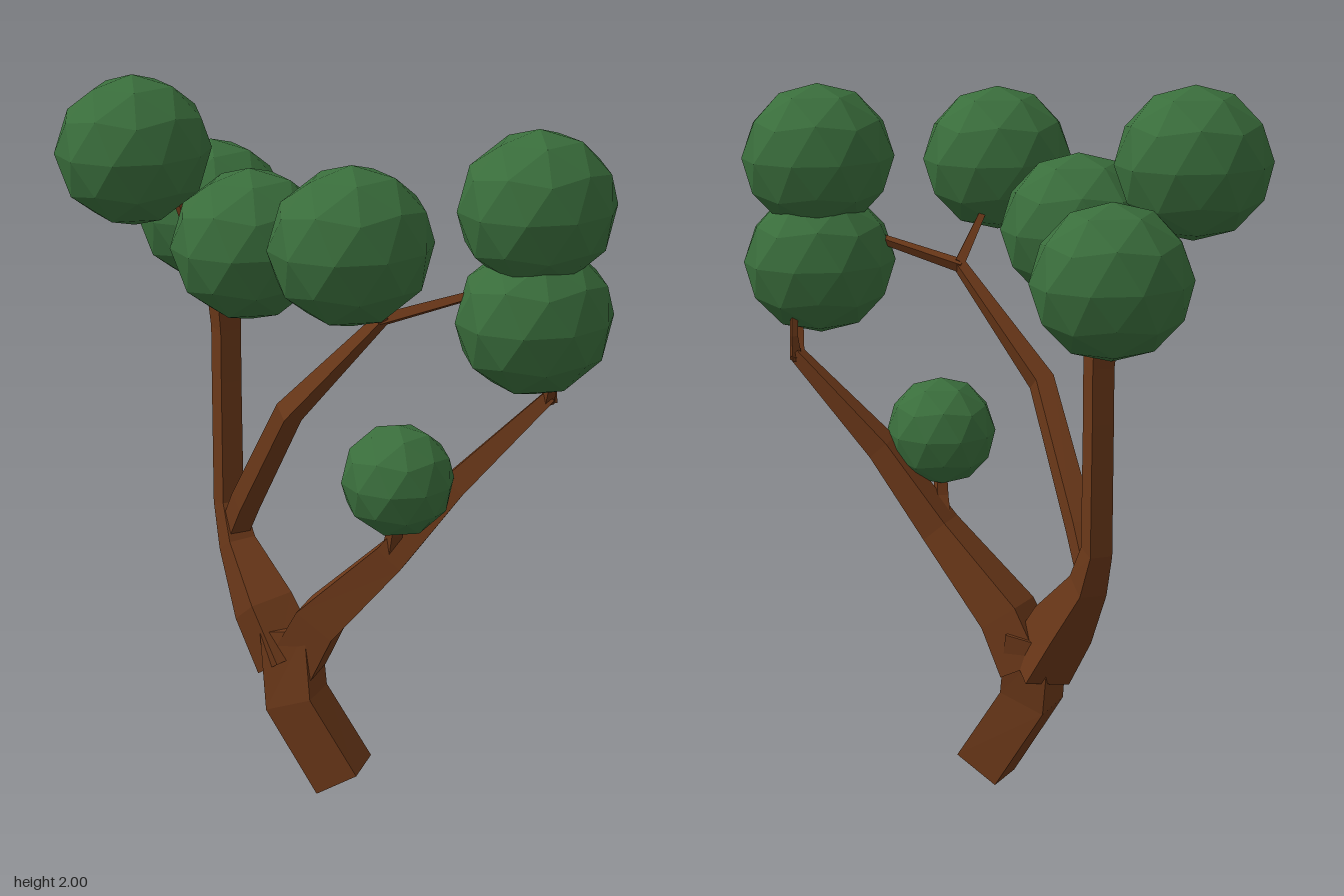
import * as THREE from 'three';

const bark = new THREE.MeshStandardMaterial({ color: 0x6b3819, flatShading: true });
const leaf = new THREE.MeshStandardMaterial({ color: 0x3a6e3c, flatShading: true });

// Square-section limb through points [x, y, z, halfWidth]; ref turns the section's sides.
function limb(name, points, ref = [1, 0, 0]) {
  const centres = points.map(([x, y, z]) => new THREE.Vector3(x, y, z));
  const last = points.length - 1;
  const positions = [], index = [];
  centres.forEach((c, i) => {
    const tangent = new THREE.Vector3();
    if (i > 0) tangent.add(c.clone().sub(centres[i - 1]).normalize());
    if (i < last) tangent.add(centres[i + 1].clone().sub(c).normalize());
    tangent.normalize();
    const u = new THREE.Vector3(...ref);
    u.addScaledVector(tangent, -u.dot(tangent)).normalize();
    const v = new THREE.Vector3().crossVectors(tangent, u);
    const r = points[i][3];
    for (const [a, b] of [[1, 1], [-1, 1], [-1, -1], [1, -1]]) {
      const p = c.clone().addScaledVector(u, a * r).addScaledVector(v, b * r);
      positions.push(p.x, p.y, p.z);
    }
    if (i === last) return;
    for (let j = 0; j < 4; j++) {
      const a = i * 4 + j, b = i * 4 + (j + 1) % 4;
      index.push(a, b, b + 4, a, b + 4, a + 4);
    }
  });
  const e = last * 4;
  index.push(0, 3, 2, 0, 2, 1, e, e + 1, e + 2, e, e + 2, e + 3);
  const indexed = new THREE.BufferGeometry();
  indexed.setAttribute('position', new THREE.Float32BufferAttribute(positions, 3));
  indexed.setIndex(index);
  const geometry = indexed.toNonIndexed();
  geometry.computeVertexNormals();
  const mesh = new THREE.Mesh(geometry, bark);
  mesh.name = name;
  return mesh;
}

// Faceted ball of leaves with a corner pointing straight up
function foliage(name, position, radii) {
  const geometry = new THREE.IcosahedronGeometry(1, 1);
  geometry.rotateZ(Math.atan(2 / (1 + Math.sqrt(5))));
  geometry.scale(...radii);
  geometry.computeVertexNormals();
  const mesh = new THREE.Mesh(geometry, leaf);
  mesh.position.set(...position);
  mesh.name = name;
  return mesh;
}

export function createModel() {
  const tree = new THREE.Group();
  tree.name = 'tree';

  // Leaning trunk, turned diagonally
  tree.add(limb('trunk', [
    [0.043, 0.038, 0.103, 0.069], [-0.058, 0.26, 0.008, 0.069], [-0.058, 0.46, -0.03, 0.066],
  ], [1, 0, -0.95]));

  // Rear limb rising to the crown
  tree.add(limb('rearLimb', [
    [-0.065, 0.36, -0.03, 0.07], [-0.1, 0.5, -0.115, 0.065], [-0.12, 0.65, -0.24, 0.04],
    [-0.122, 0.76, -0.29, 0.032], [-0.122, 1.12, -0.295, 0.031], [-0.122, 1.27, -0.295, 0.031],
    [-0.13, 1.4, -0.295, 0.036],
  ]));

  // Front limb reaching out to the left
  tree.add(limb('frontLimb', [
    [-0.045, 0.36, -0.01, 0.066], [0.0, 0.5, 0.045, 0.062], [0.14, 0.72, 0.2, 0.043],
    [0.27, 0.94, 0.31, 0.034], [0.475, 1.2, 0.448, 0.017],
  ], [1, 0, -0.95]));

  // Middle limb leaving the rear limb and swinging forward
  tree.add(limb('middleLimb', [
    [-0.12, 0.68, -0.26, 0.03], [-0.125, 0.8, -0.17, 0.031],
    [-0.125, 1.14, 0.1, 0.028], [0.03, 1.44, 0.33, 0.014],
  ]));

  // Twigs running into the foliage
  const twigs = [
    [[-0.13, 1.36, -0.295, 0.03], [-0.17, 1.46, -0.3, 0.024], [-0.26, 1.68, -0.308, 0.018]],
    [[-0.125, 1.33, -0.295, 0.026], [-0.1, 1.43, -0.37, 0.022], [-0.07, 1.5, -0.46, 0.014]],
    [[-0.13, 1.33, -0.29, 0.026], [-0.15, 1.42, -0.22, 0.022], [-0.18, 1.54, -0.08, 0.014]],
    [[0.03, 1.44, 0.33, 0.014], [-0.08, 1.56, 0.43, 0.009]],
    [[0.025, 1.435, 0.325, 0.014], [0.26, 1.52, 0.47, 0.009]],
    [[0.475, 1.18, 0.445, 0.014], [0.482, 1.25, 0.44, 0.009], [0.47, 1.38, 0.46, 0.008]],
    [[0.47, 1.18, 0.44, 0.014], [0.45, 1.26, 0.49, 0.01], [0.42, 1.36, 0.5, 0.009]],
    [[0.14, 0.7, 0.19, 0.024], [0.122, 0.8, 0.24, 0.016], [0.11, 0.92, 0.28, 0.013]],
  ];
  twigs.forEach((points, i) => tree.add(limb(`twig${i + 1}`, points)));

  // Foliage balls
  const large = [0.215, 0.205, 0.189];
  tree.add(
    foliage('rearFoliage', [-0.057, 1.545, -0.52], large),
    foliage('topFoliage', [-0.383, 1.795, -0.31], large),
    foliage('middleFoliage', [-0.187, 1.585, -0.005], large),
    foliage('frontRightFoliage', [-0.16, 1.7, 0.515], large),
    foliage('upperLeftFoliage', [0.377, 1.735, 0.515], large),
    foliage('lowerLeftFoliage', [0.377, 1.442, 0.515], large),
    foliage('smallFoliage', [0.1, 0.974, 0.295], [0.153, 0.154, 0.153]),
  );
  return tree;
}
